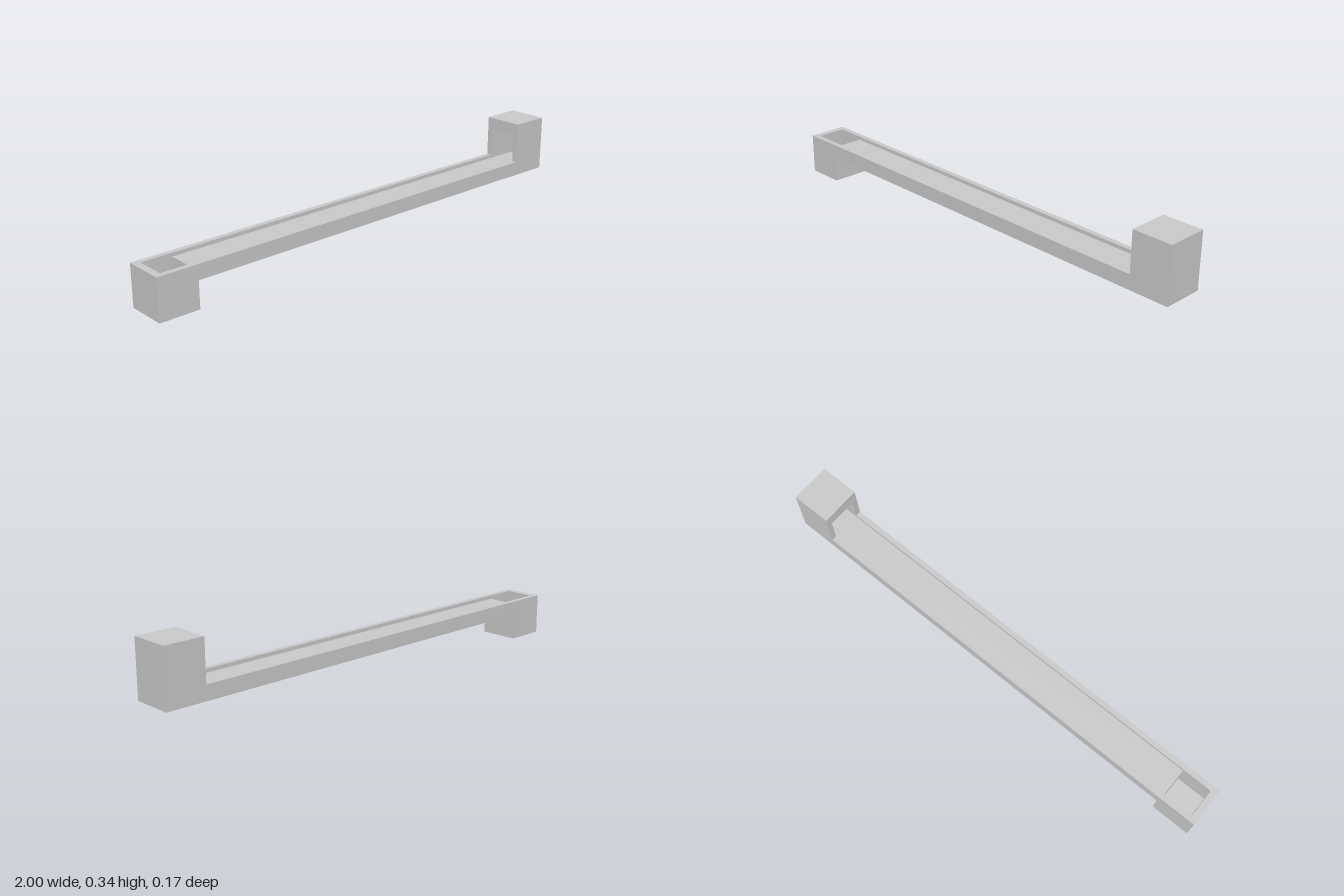
import * as THREE from 'three';

const material = new THREE.MeshStandardMaterial({ color: 0xcccccc, flatShading: true });
const HALF = 0.0835;  // half depth
const SIDE = 0.022;   // side panel thickness
const INNER = 2 * (HALF - SIDE);

export function createModel() {
  const group = new THREE.Group();

  const add = (name, geometry) => {
    const mesh = new THREE.Mesh(geometry, material);
    mesh.name = name;
    group.add(mesh);
    return mesh;
  };

  // Block spanning the gap between the side panels
  const block = (name, x0, x1, y0, y1) =>
    add(name, new THREE.BoxGeometry(x1 - x0, y1 - y0, INNER))
      .position.set((x0 + x1) / 2, (y0 + y1) / 2, 0);

  // Stepped side panels: low box, long beam and tall box in one outline
  const outline = new THREE.Shape([
    [-1, 0], [-0.835, 0], [-0.835, 0.11], [1, 0.11],
    [1, 0.34], [0.835, 0.34], [0.835, 0.17], [-1, 0.17],
  ].map(([x, y]) => new THREE.Vector2(x, y)));
  const panel = new THREE.ExtrudeGeometry(outline, { depth: SIDE, bevelEnabled: false });
  add('frontSidePanel', panel).position.z = HALF - SIDE;
  add('backSidePanel', panel).position.z = -HALF;

  // Low box, open at the top
  block('lowBoxEndWall', -1, -0.972, 0, 0.17);
  block('lowBoxFloor', -0.972, -0.845, 0, 0.028);
  block('lowBoxInnerWall', -0.845, -0.835, 0, 0.145);

  // Recessed plate along the beam, open below
  block('channelPlate', -0.845, 0.972, 0.145, 0.155);

  // Tall box, open towards the beam
  block('tallBoxFloor', 0.835, 0.972, 0.11, 0.145);
  block('tallBoxEndWall', 0.972, 1, 0.11, 0.34);
  block('tallBoxRoof', 0.845, 0.972, 0.312, 0.34);
  block('tallBoxLintel', 0.835, 0.845, 0.285, 0.34);

  return group;
}
